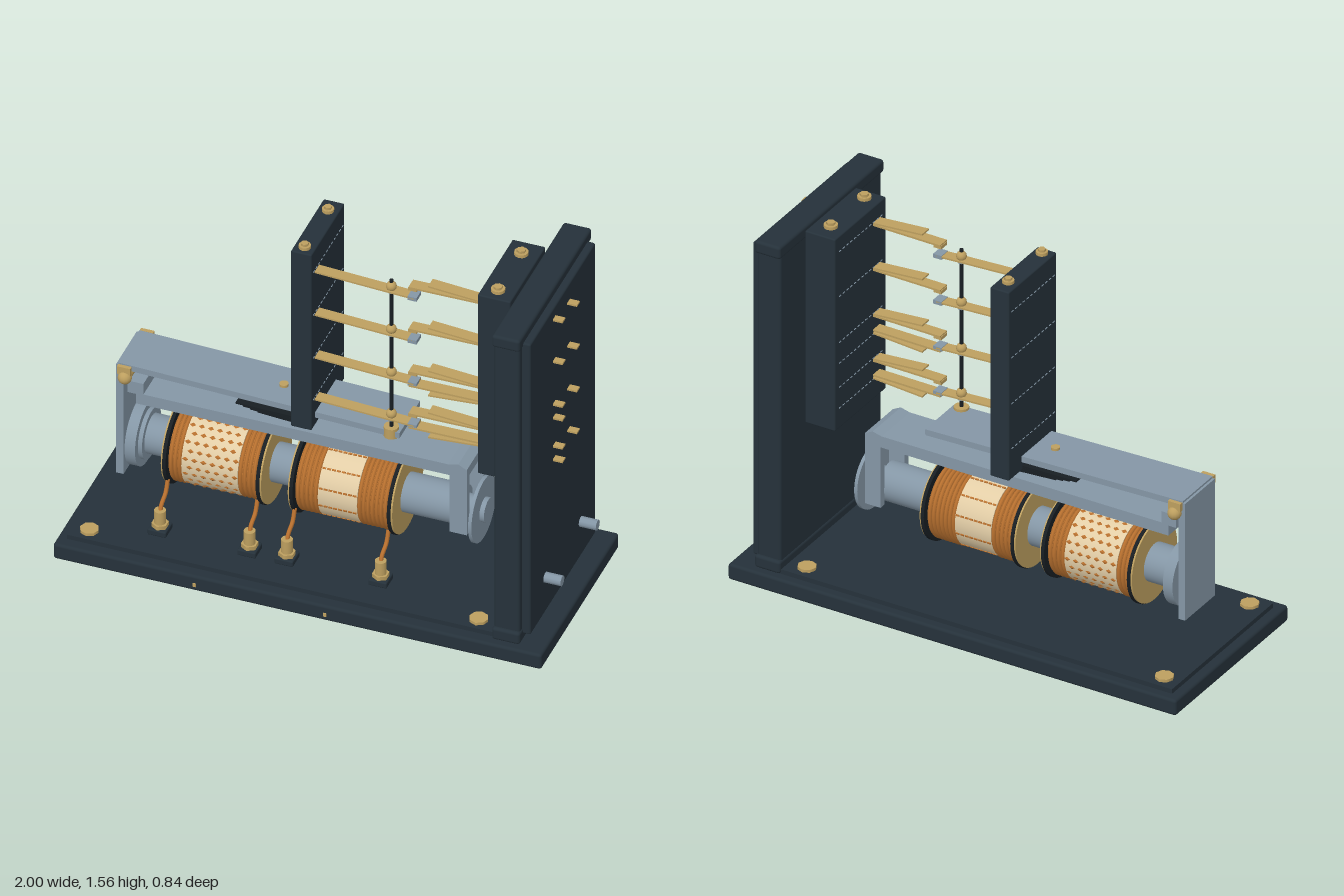
import * as THREE from 'three';
import { RoundedBoxGeometry } from 'three/addons/geometries/RoundedBoxGeometry.js';
import { mergeGeometries } from 'three/addons/utils/BufferGeometryUtils.js';

const mat = (name, color) => Object.assign(new THREE.MeshStandardMaterial({ color }), { name });

export function createModel() {
  const dark = mat('slate', 0x25313a);
  const black = mat('black', 0x181e23);
  const steel = mat('steel', 0x8496a5);
  const brass = mat('brass', 0xbd9f5f);
  const copper = mat('copper', 0xb9712f);
  const paper = mat('paper', 0xe2cda6);

  const model = new THREE.Group();
  model.name = 'relay';
  const add = (name, geometry, material, x = 0, y = 0, z = 0) => {
    const m = new THREE.Mesh(geometry, material);
    m.name = name;
    m.position.set(x, y, z);
    model.add(m);
    return m;
  };
  // Box given by its limits; r rounds the edges
  const box = (name, material, x0, x1, y0, y1, z0, z1, r = 0) => {
    const s = [x1 - x0, y1 - y0, z1 - z0];
    const g = r ? new RoundedBoxGeometry(...s, 2, r) : new THREE.BoxGeometry(...s);
    return add(name, g, material, (x0 + x1) / 2, (y0 + y1) / 2, (z0 + z1) / 2);
  };
  // Upright cylinder from y0 to y1
  const post = (name, material, r, x, y0, y1, z, n = 20) =>
    add(name, new THREE.CylinderGeometry(r, r, y1 - y0, n), material, x, (y0 + y1) / 2, z);
  // Cylinder along x on the core's axis by default
  const drum = (name, material, r, x0, x1, y = 0.392, z = 0, n = 40) => {
    const g = new THREE.CylinderGeometry(r, r, x1 - x0, n).rotateZ(Math.PI / 2);
    return add(name, g, material, (x0 + x1) / 2, y, z);
  };
  // Flat strip running in x between two heights
  const strip = (name, material, x0, y0, x1, y1, z, width, t) => {
    const m = add(name, new THREE.BoxGeometry(Math.hypot(x1 - x0, y1 - y0), t, width), material,
      (x0 + x1) / 2, (y0 + y1) / 2, z);
    m.rotation.z = Math.atan2(y1 - y0, x1 - x0);
    return m;
  };

  // Base
  box('base', dark, -1, 1, 0.02, 0.09, -0.42, 0.42, 0.012);
  box('basePlate', dark, -0.96, 0.8, 0.085, 0.11, -0.38, 0.37);
  for (const x of [-0.89, 0.705]) {
    for (const z of [-0.32, 0.315]) {
      post('foot', black, 0.052, x, 0, 0.022, z, 24);
      post('baseScrew', brass, 0.038, x, 0.105, 0.122, z, 8);
    }
  }
  for (const x of [-0.42, 0.115]) box('basePin', brass, x - 0.006, x + 0.006, 0.042, 0.058, 0.41, 0.424);

  // Upright panel
  box('panel', dark, 0.79, 0.895, 0.09, 1.54, -0.375, 0.375, 0.01);
  box('panelCover', dark, 0.89, 0.93, 0.12, 1.51, -0.35, 0.35, 0.008);
  for (const y of [0.09, 1.49]) box('panelCap', dark, 0.785, 0.9, y, y + 0.055, -0.39, 0.39, 0.012);
  for (const z of [-0.19, 0.19]) drum('panelPin', steel, 0.022, 0.92, 1, 0.287, z, 10);

  // Contact blocks with screws
  const moving = [1.43, 1.225, 1.02, 0.82];
  const fixed = [[1.46, 1], [1.26, 1], [1.055, 1], [0.99, -1], [0.855, 1], [0.79, -1]];
  box('fixedContactBlock', dark, 0.64, 0.775, 0.685, 1.54, -0.22, 0.16, 0.006);
  box('blockSpacer', dark, 0.77, 0.795, 0.72, 1.5, -0.18, 0.12);
  box('movingContactBlock', dark, -0.13, -0.045, 0.695, 1.535, -0.21, 0.146, 0.006);
  for (const [x, y, r] of [[0.705, 1.54, 0.028], [-0.087, 1.535, 0.024]]) {
    for (const z of [-0.143, 0.107]) {
      post('blockScrew', brass, r, x, y - 0.005, y + 0.013, z, 12);
      post('blockScrewHead', brass, r * 0.65, x, y + 0.01, y + 0.023, z, 6);
      const low = x > 0 ? 0.685 : 0.695;
      post('blockScrewEnd', x > 0 ? brass : dark, r * 0.5, x, low - 0.02, low + 0.01, z, 10);
    }
  }
  // Dashed seams on the block faces
  const seam = (x, y) => {
    const parts = [];
    for (let i = 0; i < 12; i++) {
      parts.push(new THREE.BoxGeometry(0.003, 0.003, 0.014).translate(x, y, -0.185 + i * 0.028));
    }
    add('blockSeam', mergeGeometries(parts), steel);
  };

  // Moving springs, tips and lifting-rod beads
  const zc = 0.087;
  for (const y of moving) {
    strip('movingSpring', brass, -0.05, y, 0.36, y - 0.02, zc, 0.048, 0.007);
    box('movingContact', steel, 0.335, 0.372, y - 0.03, y - 0.013, zc - 0.024, zc + 0.024);
    add('rodBead', new THREE.SphereGeometry(0.021, 14, 10), brass, 0.26, y, zc);
    post('rodCollar', steel, 0.014, 0.26, y - 0.03, y + 0.012, zc, 10);
    box('movingTerminal', brass, 0.92, 0.97, y - 0.004, y + 0.004, -0.075, -0.045);
    for (const x of [-0.131, -0.044]) seam(x, y + 0.012);
  }
  // Fixed springs with sloping backing strips
  for (const [y, side] of fixed) {
    strip('fixedSpring', brass, 0.34, y, 0.65, y + 0.003, zc, 0.05, 0.008);
    strip('backingSpring', brass, 0.42, y + side * 0.026, 0.65, y + side * 0.009, zc, 0.05, 0.007);
    box('fixedContact', brass, 0.337, 0.372, y - side * 0.008 - 0.007, y - side * 0.008 + 0.007, zc - 0.022, zc + 0.022);
    box('fixedTerminal', brass, 0.92, 0.97, y - 0.004, y + 0.004, zc - 0.007, zc + 0.023);
    seam(0.639, y + side * 0.014);
  }
  post('liftingRod', black, 0.008, 0.26, 0.73, 1.46, zc, 10);
  post('rodFoot', brass, 0.03, 0.26, 0.715, 0.76, zc, 12);

  // Armature with its hinge and stop leaves
  strip('armature', steel, -0.85, 0.765, 0.3, 0.735, -0.005, 0.222, 0.026);
  box('armatureLeg', steel, -0.86, -0.83, 0.25, 0.77, -0.116, 0.106);
  post('armatureScrew', brass, 0.018, -0.215, 0.745, 0.772, -0.005, 12);
  const hinge = new THREE.CylinderGeometry(0.022, 0.022, 0.26, 16).rotateX(Math.PI / 2);
  add('hingePin', hinge, brass, -0.82, 0.725, -0.005);
  for (const z of [-0.128, 0.118]) {
    add('hingeKnob', new THREE.SphereGeometry(0.028, 14, 10), brass, -0.82, 0.725, z);
    box('hingeTab', brass, -0.85, -0.795, 0.74, 0.775, z - 0.008, z + 0.008);
  }
  for (let i = 0; i < 4; i++) {
    strip('stopLeaf', black, -0.37 + i * 0.03, 0.716 - i * 0.006, -0.09, 0.71 - i * 0.008, 0, 0.22, 0.006);
  }

  // Yoke: long bar with an upturned end and two legs
  const profile = new THREE.Shape([
    [-0.815, 0.7], [-0.815, 0.645], [-0.78, 0.645], [-0.78, 0.6], [0.575, 0.6],
    [0.575, 0.642], [0.54, 0.66], [0.5, 0.65], [-0.75, 0.65], [-0.75, 0.7],
  ].map(([x, y]) => new THREE.Vector2(x, y)));
  add('yoke', new THREE.ExtrudeGeometry(profile, { depth: 0.21, bevelEnabled: false }), steel, 0, 0, -0.107);
  for (const z of [-0.107, 0.073]) box('yokeLeg', steel, 0.505, 0.575, 0.33, 0.605, z, z + 0.03);

  // Core and end discs
  drum('core', steel, 0.08, -0.78, 0.53);
  drum('coreTip', steel, 0.05, 0.52, 0.625);
  drum('polePiece', steel, 0.135, -0.815, -0.772);
  drum('poleRim', steel, 0.105, -0.775, -0.755);
  drum('endDisc', steel, 0.135, 0.592, 0.606);

  // Coils: flanges, paper wrap, windings, terminals
  const coil = (x0, x1, p0, p1) => {
    drum('windingFill', copper, 0.149, x0 + 0.01, x1 - 0.01);
    drum('paperWrap', paper, 0.155, p0, p1);
    for (const [x, s] of [[x0, -1], [x1, 1]]) {
      drum('flange', black, 0.172, x - 0.007, x + 0.007);
      const outer = x + s * 0.01;
      drum('flangeFace', brass, 0.168, outer - 0.004, outer + 0.004);
    }
    const turns = [];
    for (const [a, b] of [[x0 + 0.012, p0], [p1, x1 - 0.012]]) {
      const n = Math.max(2, Math.round((b - a) / 0.017));
      for (let i = 0; i < n; i++) {
        const x = a + (i + 0.5) * (b - a) / n;
        turns.push(new THREE.TorusGeometry(0.15, 0.0085, 6, 40).rotateY(Math.PI / 2).translate(x, 0.392, 0));
      }
    }
    add('windings', mergeGeometries(turns), copper);
    for (const x of [x0 + 0.003, x1 - 0.013]) {
      box('terminalBase', dark, x - 0.038, x + 0.038, 0.108, 0.135, 0.182, 0.258, 0.006);
      post('terminalNut', brass, 0.034, x, 0.135, 0.152, 0.22, 6);
      post('terminalPost', brass, 0.023, x, 0.15, 0.21, 0.22, 14);
      const path = new THREE.CatmullRomCurve3([[0.2, 0.22], [0.225, 0.205], [0.25, 0.16], [0.3, 0.135]]
        .map(([y, z]) => new THREE.Vector3(x, y, z)));
      add('leadWire', new THREE.TubeGeometry(path, 12, 0.009, 6), copper);
    }
  };
  coil(-0.64, -0.257, -0.575, -0.345);
  coil(-0.12, 0.28, -0.016, 0.144);

  // Exposed wire: staggered lozenges on one coil, dashed lines on the other
  const around = (g, x, angle) => g.translate(x, 0.155, 0).rotateX(angle).translate(0, 0.392, 0);
  const lozenges = [], dashes = [];
  for (let j = 0; j < 28; j++) {
    for (let i = 0; i < 6; i++) {
      const g = new THREE.OctahedronGeometry(1).scale(0.013, 0.004, 0.009);
      lozenges.push(around(g, -0.56 + i * 0.037 + (j % 2) * 0.018, j * Math.PI / 14));
    }
  }
  for (let j = 0; j < 12; j++) {
    for (let i = 0; i < 8; i++) {
      const g = new THREE.BoxGeometry(0.015, 0.006, 0.007);
      dashes.push(around(g, -0.006 + i * 0.02, (j + 0.5) * Math.PI / 6));
    }
  }
  add('wireLozenges', mergeGeometries(lozenges), copper);
  add('wireDashes', mergeGeometries(dashes), copper);

  return model;
}
